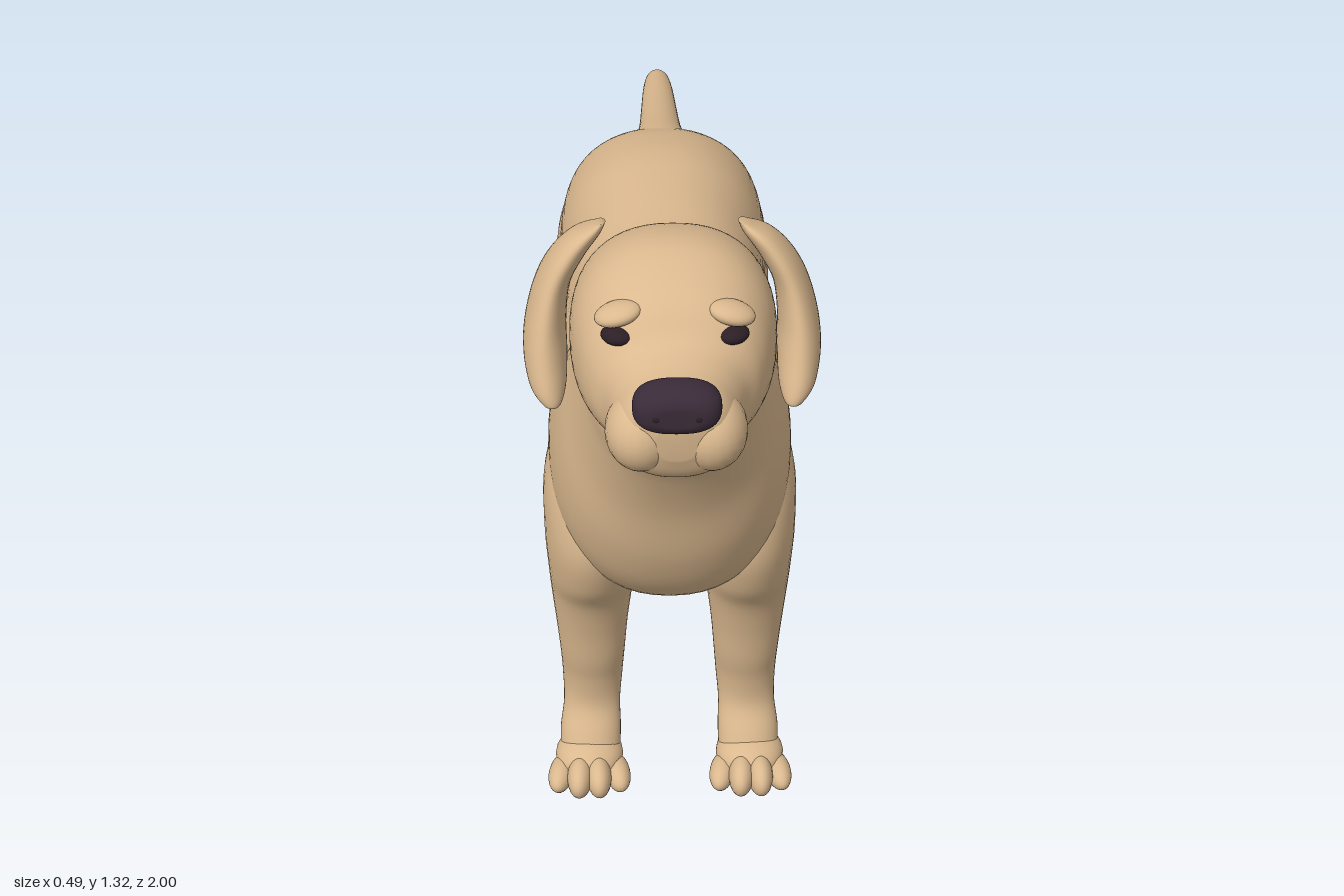
import * as THREE from 'three';

const fur = new THREE.MeshStandardMaterial({ color: 0xdbb98f, name: 'fur' });
const noseDark = new THREE.MeshStandardMaterial({ color: 0x3a2b38, name: 'noseDark' });
const eyeDark = new THREE.MeshStandardMaterial({ color: 0x2c1f26, name: 'eyeDark' });

// Smooth skin over oval sections. Each section: [z1, y1, z2, y2, halfWidth, centreX],
// where (z1, y1) and (z2, y2) are the two ends of the oval in side view.
function loft(sections, side = 1, power = 2, steps = 6, around = 40) {
  const curve = (f) => new THREE.CatmullRomCurve3(sections.map(f), false, 'catmullrom', 0.5);
  const first = curve((s) => new THREE.Vector3((s[5] || 0) * side, s[1], s[0]));
  const second = curve((s) => new THREE.Vector3((s[5] || 0) * side, s[3], s[2]));
  const width = curve((s) => new THREE.Vector3(s[4], 0, 0));
  const rings = (sections.length - 1) * steps;
  const pos = [], idx = [];
  const bend = (v) => Math.sign(v) * Math.pow(Math.abs(v), 2 / power);
  for (let i = 0; i <= rings; i++) {
    const a = first.getPoint(i / rings), b = second.getPoint(i / rings), w = width.getPoint(i / rings).x;
    const mid = a.clone().add(b).multiplyScalar(0.5), up = a.clone().sub(b).multiplyScalar(0.5);
    for (let j = 0; j < around; j++) {
      const t = (j / around) * Math.PI * 2, c = bend(Math.cos(t)), s = bend(Math.sin(t));
      pos.push(mid.x + c * w, mid.y + s * up.y, mid.z + s * up.z);
    }
  }
  for (let i = 0; i < rings; i++) {
    for (let j = 0; j < around; j++) {
      const k = (j + 1) % around, p = i * around, q = p + around;
      idx.push(p + j, p + k, q + j, p + k, q + k, q + j);
    }
  }
  // end caps
  [0, rings].forEach((r) => {
    const a = first.getPoint(r / rings), b = second.getPoint(r / rings);
    const centre = pos.length / 3, o = r * around;
    pos.push((a.x + b.x) / 2, (a.y + b.y) / 2, (a.z + b.z) / 2);
    for (let j = 0; j < around; j++) {
      const k = (j + 1) % around;
      if (r === 0) idx.push(centre, o + k, o + j);
      else idx.push(centre, o + j, o + k);
    }
  });
  // turn the faces outward whatever the direction of the sections
  const P = (n) => new THREE.Vector3().fromArray(pos, n * 3);
  let volume = 0;
  for (let n = 0; n < idx.length; n += 3) volume += P(idx[n]).dot(P(idx[n + 1]).cross(P(idx[n + 2])));
  if (volume < 0) idx.reverse();
  const g = new THREE.BufferGeometry();
  g.setAttribute('position', new THREE.Float32BufferAttribute(pos, 3));
  g.setIndex(idx);
  g.computeVertexNormals();
  return g;
}

export function createModel() {
  const model = new THREE.Group();
  model.name = 'dog';
  const add = (name, geometry, material = fur, parent = model) => {
    const m = new THREE.Mesh(geometry, material);
    m.name = name;
    parent.add(m);
    return m;
  };
  const blob = (name, p, r, material = fur, parent = model) => {
    const m = add(name, new THREE.SphereGeometry(1, 24, 16), material, parent);
    m.position.set(...p);
    m.scale.set(...r);
    return m;
  };

  // Trunk from rump to neck
  add('body', loft([
    [-0.53, 0.83, -0.535, 0.75, 0.05], [-0.51, 0.885, -0.525, 0.66, 0.13],
    [-0.46, 0.915, -0.49, 0.57, 0.18], [-0.38, 0.945, -0.39, 0.525, 0.2],
    [-0.25, 0.973, -0.25, 0.505, 0.203], [-0.1, 0.98, -0.1, 0.503, 0.193],
    [0.05, 0.982, 0.05, 0.482, 0.197], [0.2, 0.995, 0.2, 0.467, 0.21],
    [0.31, 1.01, 0.36, 0.46, 0.214], [0.36, 1.035, 0.5, 0.485, 0.214],
    [0.4, 1.07, 0.6, 0.565, 0.205], [0.43, 1.1, 0.66, 0.67, 0.19],
    [0.455, 1.14, 0.7, 0.8, 0.168], [0.48, 1.18, 0.745, 0.9, 0.15],
    [0.515, 1.21, 0.785, 0.965, 0.14], [0.57, 1.24, 0.8, 1.01, 0.12],
  ], 1, 2.25, 6, 56));

  add('tail', loft([
    [-0.4, 0.93, -0.43, 0.8, 0.065], [-0.5, 0.905, -0.52, 0.815, 0.052],
    [-0.6, 0.877, -0.605, 0.803, 0.043], [-0.75, 0.84, -0.76, 0.775, 0.037],
    [-0.88, 0.812, -0.89, 0.75, 0.032], [-0.96, 0.793, -0.97, 0.738, 0.025],
    [-0.99, 0.778, -0.992, 0.74, 0.016], [-1, 0.762, -1, 0.75, 0.005],
  ]));

  // Head and muzzle
  const head = new THREE.Group();
  head.name = 'head';
  model.add(head);
  add('skull', loft([
    [0.48, 1.17, 0.5, 1.1, 0.05], [0.51, 1.235, 0.56, 1.04, 0.12],
    [0.56, 1.285, 0.63, 1.0, 0.155], [0.63, 1.315, 0.7, 0.99, 0.166],
    [0.7, 1.325, 0.77, 1.0, 0.163], [0.77, 1.308, 0.82, 1.02, 0.15],
    [0.815, 1.283, 0.85, 1.033, 0.134], [0.855, 1.245, 0.88, 1.042, 0.113],
    [0.9, 1.23, 0.915, 1.046, 0.1], [0.945, 1.224, 0.945, 1.055, 0.09],
    [0.975, 1.205, 0.965, 1.075, 0.07], [0.985, 1.17, 0.98, 1.11, 0.03],
  ], 1, 2.3, 6, 56), fur, head);
  add('nose', loft([
    [0.925, 1.225, 0.93, 1.18, 0.045], [0.945, 1.238, 0.95, 1.17, 0.064],
    [0.97, 1.24, 0.975, 1.163, 0.068], [0.99, 1.232, 0.99, 1.166, 0.06],
    [0.999, 1.218, 0.999, 1.178, 0.042], [1, 1.205, 1, 1.19, 0.015],
  ], 1, 2.5), noseDark, head);

  [1, -1].forEach((s) => {
    const label = s > 0 ? 'left' : 'right';
    // Face details
    blob(label + 'Flew', [s * 0.052, 1.13, 0.92], [0.058, 0.066, 0.069], fur, head).rotation.y = s * 0.15;
    blob(label + 'Nostril', [s * 0.032, 1.198, 0.99], [0.013, 0.012, 0.011], eyeDark, head);
    blob(label + 'Eye', [s * 0.09, 1.24, 0.826], [0.026, 0.014, 0.022], eyeDark, head).rotation.y = s * 0.5;
    blob(label + 'Brow', [s * 0.088, 1.267, 0.806], [0.038, 0.017, 0.03], fur, head).rotation.z = -s * 0.25;
    // Hanging ear
    add(label + 'Ear', loft([
      [0.59, 1.3, 0.55, 1.29, 0.008, 0.115], [0.612, 1.285, 0.522, 1.265, 0.025, 0.14],
      [0.627, 1.25, 0.498, 1.22, 0.03, 0.17], [0.64, 1.2, 0.491, 1.17, 0.03, 0.195],
      [0.66, 1.14, 0.507, 1.115, 0.034, 0.207], [0.678, 1.09, 0.545, 1.07, 0.036, 0.208],
      [0.694, 1.045, 0.605, 1.032, 0.03, 0.204], [0.698, 1.02, 0.655, 1.014, 0.016, 0.198],
      [0.69, 1.012, 0.675, 1.01, 0.004, 0.196],
    ], s), fur, head);

    // Front leg with shoulder
    add(label + 'FrontLeg', loft([
      [0.45, 0.86, 0.35, 0.88, 0.03, 0.11], [0.51, 0.79, 0.31, 0.82, 0.068, 0.125],
      [0.545, 0.7, 0.3, 0.72, 0.088, 0.134], [0.56, 0.6, 0.3, 0.6, 0.087, 0.138],
      [0.535, 0.51, 0.315, 0.5, 0.08, 0.14], [0.492, 0.44, 0.33, 0.43, 0.074, 0.142],
      [0.466, 0.36, 0.345, 0.355, 0.066, 0.143], [0.45, 0.28, 0.343, 0.28, 0.06, 0.143],
      [0.435, 0.22, 0.33, 0.2, 0.056, 0.144], [0.432, 0.16, 0.355, 0.145, 0.053, 0.146],
      [0.455, 0.11, 0.37, 0.09, 0.057, 0.149], [0.48, 0.06, 0.385, 0.04, 0.056, 0.15],
    ], s));
    // Hind leg with thigh and hock
    add(label + 'HindLeg', loft([
      [-0.32, 0.86, -0.44, 0.86, 0.03, 0.1], [-0.25, 0.78, -0.495, 0.79, 0.075, 0.12],
      [-0.225, 0.67, -0.515, 0.68, 0.087, 0.128], [-0.235, 0.56, -0.502, 0.58, 0.085, 0.13],
      [-0.285, 0.465, -0.49, 0.49, 0.075, 0.135], [-0.355, 0.38, -0.512, 0.4, 0.06, 0.14],
      [-0.425, 0.3, -0.555, 0.325, 0.046, 0.145], [-0.448, 0.24, -0.546, 0.25, 0.041, 0.146],
      [-0.437, 0.16, -0.53, 0.15, 0.042, 0.148], [-0.405, 0.105, -0.524, 0.08, 0.05, 0.15],
      [-0.39, 0.06, -0.505, 0.03, 0.05, 0.15],
    ], s));
    // Paws with four toes each
    [['Front', 0.455, 0.012], ['Hind', -0.41, 0.004]].forEach(([end, z, y]) => {
      const paw = new THREE.Group();
      paw.name = label + end + 'Paw';
      paw.position.set(s * 0.152, y, z);
      model.add(paw);
      blob('pawPad', [0, 0.044, -0.015], [0.064, 0.042, 0.068], fur, paw);
      [-1.5, -0.5, 0.5, 1.5].forEach((k) => {
        const outer = Math.abs(k) > 1;
        blob('toe', [k * 0.035, outer ? 0.027 : 0.036, outer ? 0.022 : 0.042],
          [0.024, outer ? 0.027 : 0.036, 0.049], fur, paw).rotation.y = k * 0.12;
      });
    });
    // Rear underside, paired
    blob(label + 'RearUnderside', [s * 0.017, 0.56, -0.44], [0.024, 0.045, 0.035]);
  });

  blob('bellyFold', [0, 0.505, -0.16], [0.026, 0.026, 0.055]);
  return model;
}
